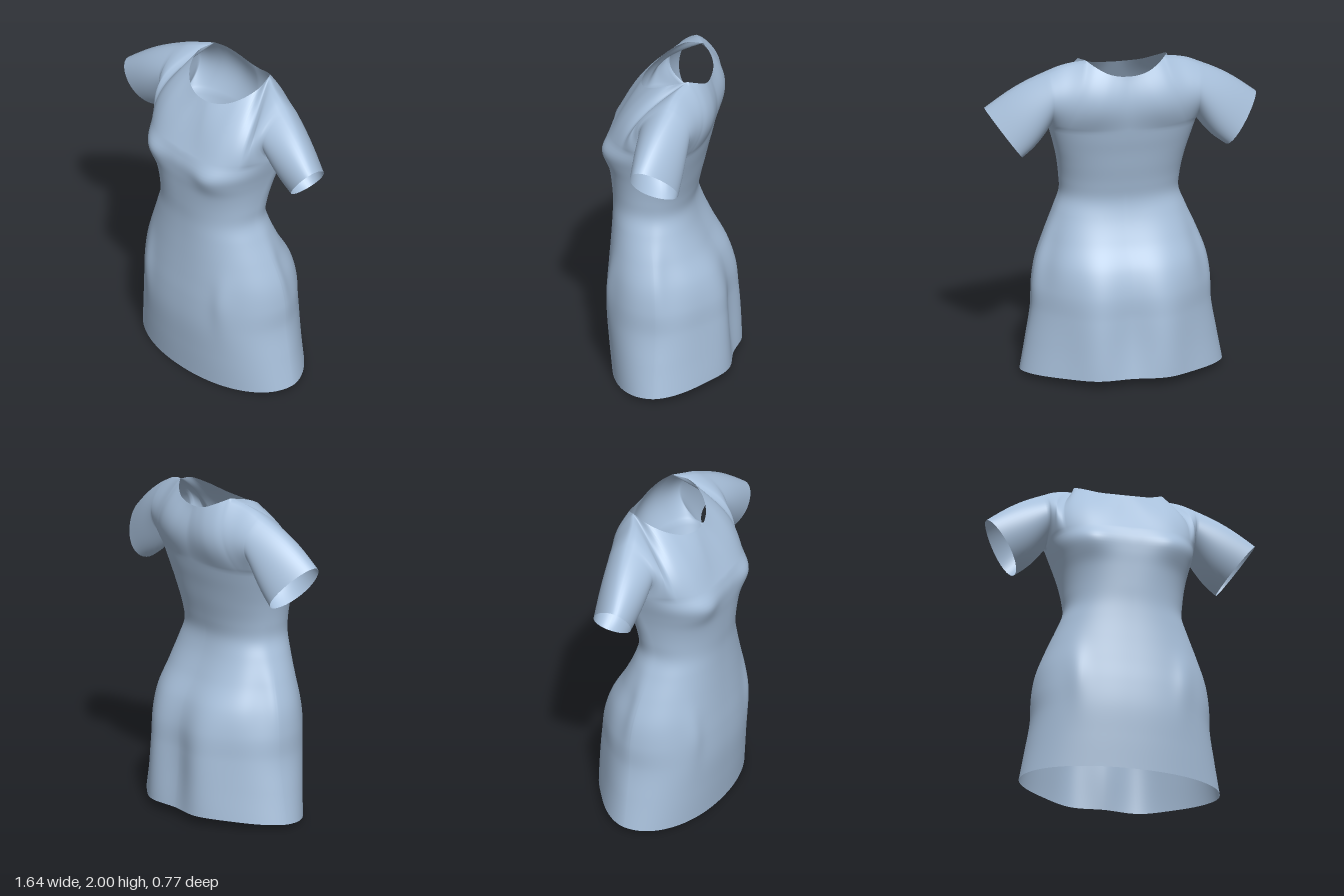
import * as THREE from 'three';
import { mergeVertices } from 'three/addons/utils/BufferGeometryUtils.js';

// Body sections: y, half width, front z, back z, side z, front squareness, back squareness
const SECTIONS = [
  [0.00, 0.61, 0.340, -0.390, 0.00, 2.1, 1.7],
  [0.20, 0.575, 0.360, -0.378, 0.00, 2.2, 1.7],
  [0.40, 0.543, 0.375, -0.367, 0.00, 2.3, 1.75],
  [0.56, 0.538, 0.372, -0.355, 0.00, 2.3, 1.8],
  [0.70, 0.515, 0.362, -0.312, 0.01, 2.3, 1.9],
  [0.85, 0.460, 0.352, -0.230, 0.03, 2.3, 2.0],
  [1.00, 0.395, 0.345, -0.165, 0.06, 2.3, 2.2],
  [1.10, 0.358, 0.345, -0.145, 0.07, 2.3, 2.2],
  [1.20, 0.362, 0.353, -0.160, 0.06, 2.3, 2.2],
  [1.33, 0.380, 0.364, -0.190, 0.02, 2.6, 2.2],
  [1.42, 0.400, 0.372, -0.210, -0.01, 2.9, 2.2],
  [1.50, 0.422, 0.372, -0.230, -0.03, 3.1, 2.2],
  [1.57, 0.440, 0.352, -0.245, -0.05, 2.9, 2.2],
];
const TOP = 1.57;   // underarm height
const SPLIT = 0.6;  // share of the yoke columns that end on the neckline
const N = 40;       // columns from centre to side
const M = 24;       // rows from underarm to shoulder
const spline = new THREE.CubicInterpolant(
  SECTIONS.map((s) => s[0]), SECTIONS.flatMap((s) => s.slice(1)), 6, new Float32Array(6));

const V = (x, y, z) => new THREE.Vector3(x, y, z);
const curve = (...pts) => new THREE.CatmullRomCurve3(pts.map((p) => V(...p)));
const bump = (d, w) => Math.exp(-(d * d) / (w * w));

// Neckline halves run from the centre to the neck point; the shoulder line from there to the armhole
const neckFront = curve([0, 1.864, 0.18], [0.06, 1.867, 0.175], [0.15, 1.885, 0.14],
  [0.23, 1.93, 0.07], [0.268, 1.978, -0.03], [0.24, 2, -0.14]);
const neckBack = curve([0, 1.915, -0.235], [0.05, 1.918, -0.234], [0.12, 1.935, -0.225],
  [0.19, 1.97, -0.19], [0.24, 2, -0.14]);
const shoulder = curve([0.24, 2, -0.14], [0.31, 1.983, -0.105], [0.39, 1.957, -0.08], [0.46, 1.923, -0.065]);

// Point on the skirt and bodice: a runs 0 (front centre) to PI (back centre)
function bodyPoint(y, a) {
  const [w, front, back, side, pF, pB] = spline.evaluate(y);
  const c = Math.cos(a), isFront = c >= 0;
  const e = 2 / (isFront ? pF : pB);
  let x = w * Math.pow(Math.max(Math.sin(a), 0), e);
  let z = side + ((isFront ? front : back) - side) * Math.pow(Math.abs(c), e);
  if (isFront) {
    z += 0.018 * bump(x - 0.33, 0.06) * bump(y - 0.6, 0.18);   // thigh ridge
    z += 0.03 * bump(x - 0.25, 0.11) * bump(y - 1.47, 0.09);   // bust
  } else {
    z += 0.032 * bump(x, 0.11) * bump(y - 0.3, 0.45);          // centre back hollow
    z -= 0.04 * bump(x - 0.23, 0.13) * bump(y - 0.25, 0.5);    // seat
    const dent = 0.03 * bump(a - 1.95, 0.25) * bump(y - 0.72, 0.22); // hollow behind the hip
    x *= 1 - dent;
    z += dent * 0.7;
  }
  const hem = Math.max(0, 1 - y / 0.5);
  return V(x, y + hem * (0.025 - 0.07 * z), z);
}

// Point on the yoke: f runs 0 (centre) to 1 (armhole), v from underarm to top edge
function yokePoint(isFront, f, v) {
  const a = (f * Math.PI) / 2;
  const low = bodyPoint(TOP, isFront ? a : Math.PI - a);
  const high = f < SPLIT
    ? (isFront ? neckFront : neckBack).getPoint(f / SPLIT)
    : shoulder.getPoint((f - SPLIT) / (1 - SPLIT));
  const p = low.lerp(high, v);
  const arch = Math.max(Math.sin(Math.PI * v), 0);
  const swell = Math.pow(arch, 1.15 - 0.45 * f);
  if (isFront) {
    p.x += 0.06 * arch * bump(f - 0.65, 0.17);                 // keeps the front clear of the neck
    p.z += swell * 0.165 * Math.pow(f, 1.5);
  } else {
    p.z -= swell * (0.033 + 0.107 * Math.pow(f, 1.2));
  }
  return p;
}

// Point on the sleeve: i goes round the armhole from the underarm, t runs out to the cuff
function sleevePoint(i, t) {
  const start = i <= M ? yokePoint(true, 1, i / M) : yokePoint(false, 1, (2 * M - i) / M);
  const phi = (i / M) * Math.PI;
  const cuff = V(0.718, 1.538, -0.024)
    .addScaledVector(V(0.103, 0.138, 0.055), -Math.cos(phi))
    .add(V(0, 0, 0.125 * Math.sin(phi) * (1 + 0.15 * Math.cos(phi))));
  const p = start.lerp(cuff, t);
  const puff = Math.sin(Math.PI * t) * 0.02;
  p.y -= puff * Math.cos(phi);
  p.z += puff * 0.3 * Math.sin(phi);
  return p;
}

export function createModel() {
  const positions = [], index = [];

  // Adds a grid of points and its mirror image
  function addGrid(rows, cols, point) {
    for (const m of [1, -1]) {
      const base = positions.length / 3;
      for (let i = 0; i <= rows; i++) {
        for (let j = 0; j <= cols; j++) {
          const p = point(i, j);
          positions.push(m * p.x, p.y, p.z);
          if (i === rows || j === cols) continue;
          const a = base + i * (cols + 1) + j, b = a + 1, d = a + cols + 1, c = d + 1;
          if (m > 0) index.push(a, b, c, a, c, d);
          else index.push(a, c, b, a, d, c);
        }
      }
    }
  }

  // Skirt and bodice up to the underarm
  addGrid(80, 2 * N, (i, j) => bodyPoint((TOP * i) / 80, (j / N) * (Math.PI / 2)));
  // Front and back yoke
  addGrid(M, N, (i, j) => yokePoint(true, j / N, i / M));
  addGrid(M, N, (i, j) => yokePoint(false, 1 - j / N, i / M));
  // Sleeves
  addGrid(2 * M, 18, (i, j) => sleevePoint(i, j / 18));

  let geometry = new THREE.BufferGeometry();
  geometry.setAttribute('position', new THREE.Float32BufferAttribute(positions, 3));
  geometry.setIndex(index);
  geometry = mergeVertices(geometry, 1e-4);
  geometry.computeVertexNormals();

  const material = new THREE.MeshStandardMaterial({ color: 0xa9c1dc, side: THREE.DoubleSide });
  const dress = new THREE.Mesh(geometry, material);
  dress.name = 'dress';
  const group = new THREE.Group();
  group.name = 'shortSleevedDress';
  group.add(dress);
  return group;
}
